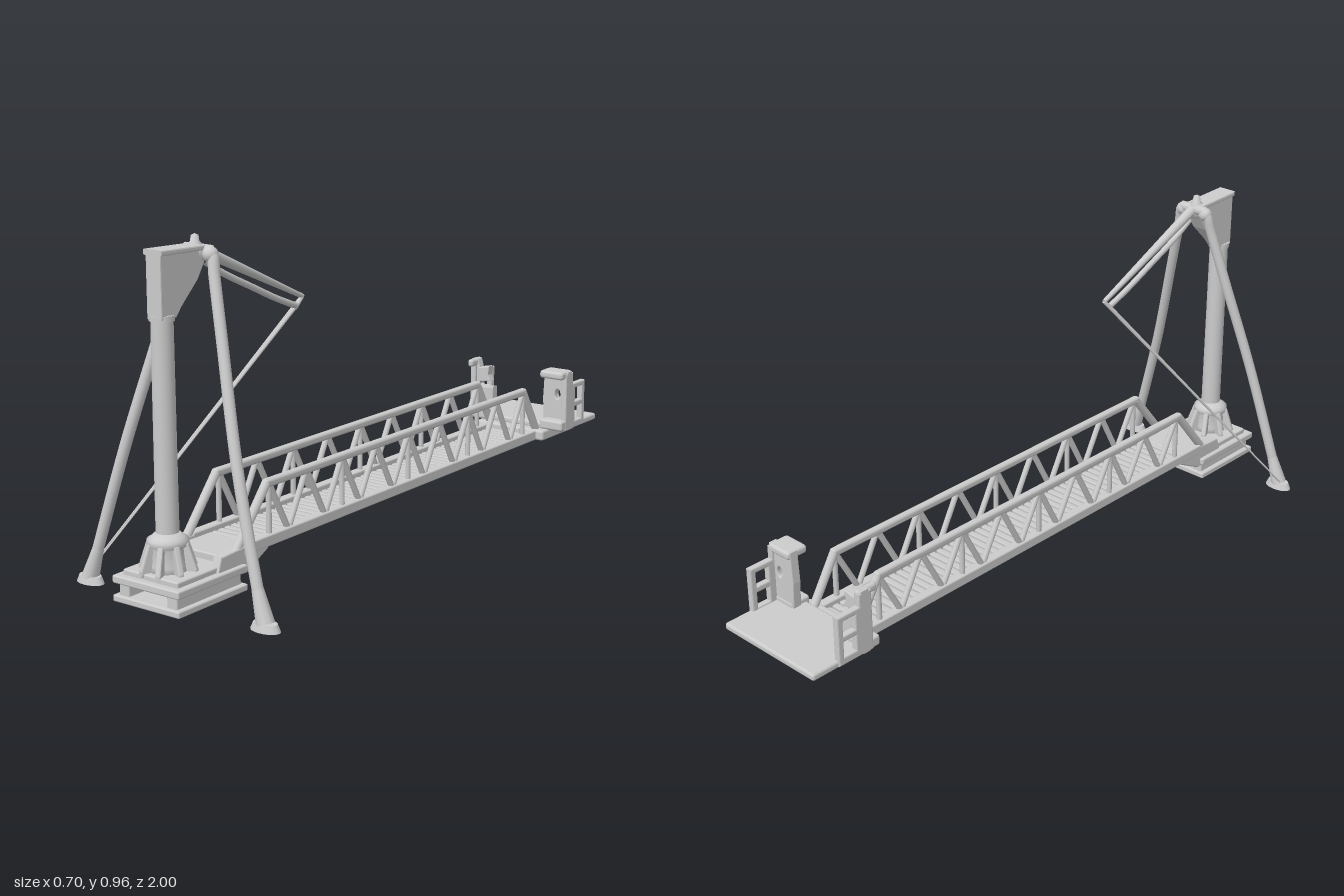
import * as THREE from 'three';
import { RoundedBoxGeometry } from 'three/addons/geometries/RoundedBoxGeometry.js';

const mat = new THREE.MeshStandardMaterial({ color: 0xcccccc });
const V = (x, y, z) => new THREE.Vector3(x, y, z);

function add(parent, name, geometry) {
  const mesh = new THREE.Mesh(geometry, mat);
  mesh.name = name;
  parent.add(mesh);
  return mesh;
}

// Box given by its limits on each axis
function box(parent, name, [x0, x1], [y0, y1], [z0, z1], r = 0.005) {
  const g = new RoundedBoxGeometry(x1 - x0, y1 - y0, z1 - z0, 2, r);
  g.translate((x0 + x1) / 2, (y0 + y1) / 2, (z0 + z1) / 2);
  return add(parent, name, g);
}

// Straight round bar between two points
function bar(parent, name, a, b, r0, r1 = r0) {
  const mesh = add(parent, name, new THREE.CylinderGeometry(r1, r0, a.distanceTo(b), 10));
  mesh.position.copy(a).lerp(b, 0.5);
  mesh.quaternion.setFromUnitVectors(V(0, 1, 0), b.clone().sub(a).normalize());
  return mesh;
}

function group(parent, name) {
  const g = new THREE.Group();
  g.name = name;
  parent.add(g);
  return g;
}

const poly = (pts, Type = THREE.Shape) => new Type(pts.map(p => new THREE.Vector2(...p)));

// Plate with a side outline of [z, y] points, centred on x
function sidePlate(parent, name, pts, x, width, holes = []) {
  const shape = poly(pts);
  holes.forEach(h => shape.holes.push(poly(h, THREE.Path)));
  const b = Math.min(0.004, width / 4);
  const g = new THREE.ExtrudeGeometry(shape, {
    depth: width - 2 * b, bevelSize: b, bevelThickness: b, bevelOffset: -b, bevelSegments: 2
  });
  g.translate(0, 0, -(width - 2 * b) / 2).rotateY(-Math.PI / 2).translate(x, 0, 0);
  return add(parent, name, g);
}

function buildBase(root) {
  const base = group(root, 'base');
  box(base, 'bottomPlate', [-0.115, 0.115], [0.018, 0.037], [0.73, 1]);
  box(base, 'topPlate', [-0.115, 0.115], [0.068, 0.09], [0.73, 1]);
  box(base, 'step', [-0.095, 0.095], [0.085, 0.105], [0.74, 0.98]);
  for (const s of [-1, 1]) {
    const xs = [s * 0.065, s * 0.1].sort((a, b) => a - b);
    box(base, 'web', xs, [0.03, 0.075], [0.74, 0.99]);
    // Cheek that carries the end of the bridge
    sidePlate(base, 'cheek', [[0.63, 0.105], [0.72, 0.06], [0.84, 0.07], [0.82, 0.13], [0.63, 0.14]], s * 0.088, 0.028);
  }
  // Mast socket with a ring of gussets
  const socket = [[0, 0.09], [0.056, 0.09], [0.05, 0.12], [0.046, 0.165], [0.054, 0.172], [0.054, 0.187], [0.044, 0.193], [0.031, 0.205], [0, 0.205]];
  add(base, 'socket', new THREE.LatheGeometry(socket.map(p => new THREE.Vector2(...p)), 28)).position.z = 0.91;
  for (let i = 0; i < 8; i++) {
    const gusset = sidePlate(base, 'gusset', [[0.035, 0.095], [0.08, 0.095], [0.08, 0.11], [0.057, 0.178], [0.035, 0.178]], 0, 0.016);
    gusset.position.z = 0.91;
    gusset.rotation.y = (i + 0.5) * Math.PI / 4;
  }
}

function buildMast(root) {
  const mast = group(root, 'mast');
  add(mast, 'column', new THREE.CylinderGeometry(0.029, 0.031, 0.68, 28)).position.set(0, 0.43, 0.91);
  add(mast, 'collar', new THREE.CylinderGeometry(0.033, 0.033, 0.014, 28)).position.set(0, 0.762, 0.91);
  sidePlate(mast, 'head', [[0.938, 0.76], [0.882, 0.76], [0.862, 0.785], [0.8, 0.845], [0.765, 0.9], [0.765, 0.93], [0.938, 0.935]], 0, 0.05);
  sidePlate(mast, 'headCap', [[0.94, 0.922], [0.77, 0.918], [0.77, 0.932], [0.94, 0.937]], 0, 0.062);
  const knob = [[0, -0.035], [0.025, -0.03], [0.03, 0], [0.012, 0.02], [0.01, 0.035], [0, 0.04]];
  add(mast, 'knob', new THREE.LatheGeometry(knob.map(p => new THREE.Vector2(...p)), 16)).position.set(0, 0.92, 0.782);

  for (const s of [-1, 1]) {
    const leg = group(mast, s > 0 ? 'leftLeg' : 'rightLeg');
    const path = new THREE.CatmullRomCurve3([
      V(0, 0.915, 0.77), V(s * 0.045, 0.915, 0.77), V(s * 0.062, 0.855, 0.78), V(s * 0.105, 0.7, 0.805),
      V(s * 0.19, 0.4, 0.855), V(s * 0.277, 0.1, 0.885), V(s * 0.297, 0.035, 0.89)
    ]);
    add(leg, 'strut', new THREE.TubeGeometry(path, 48, 0.0155, 12));
    bar(leg, 'ankle', V(s * 0.305, 0.016, 0.89), V(s * 0.277, 0.1, 0.885), 0.025, 0.016);
    // Foot pad
    const foot = add(leg, 'foot', new THREE.CylinderGeometry(0.8, 1, 1, 20));
    foot.scale.set(0.045, 0.02, 0.027);
    foot.position.set(s * 0.305, 0.01, 0.89);
    add(leg, 'shoulder', new THREE.SphereGeometry(0.021, 16, 10)).position.set(s * 0.043, 0.908, 0.772);
  }

  // Jib with two arms and the stays from its tip to one foot
  const jib = group(mast, 'jib');
  const tip = V(0, 0.735, 0.348);
  bar(jib, 'upperArm', V(0, 0.915, 0.76), tip, 0.016, 0.007);
  const lower = new THREE.CatmullRomCurve3([V(0, 0.885, 0.75), V(0, 0.845, 0.68), V(0, 0.79, 0.56), V(0, 0.745, 0.46), V(0, 0.712, 0.375)]);
  add(jib, 'lowerArm', new THREE.TubeGeometry(lower, 24, 0.009, 10));
  bar(jib, 'tipLink', V(0, 0.705, 0.38), tip, 0.006);
  bar(jib, 'stay', V(-0.325, 0.03, 0.87), tip, 0.002, 0.006);
  bar(jib, 'stay', V(-0.318, 0.03, 0.872), V(0, 0.708, 0.378), 0.002, 0.005);
}

function buildBridge(root) {
  const bridge = group(root, 'bridge');
  const low = 0.13, high = 0.28;
  for (const s of [-1, 1]) {
    const truss = group(bridge, s > 0 ? 'leftTruss' : 'rightTruss');
    const x = s * 0.088;
    box(truss, 'bottomChord', [x - 0.015, x + 0.015], [0.108, 0.14], [-0.8, 0.73]);
    box(truss, 'topChord', [x - 0.012, x + 0.012], [0.268, 0.292], [-0.69, 0.63], 0.009);
    bar(truss, 'endBrace', V(x, 0.11, 0.76), V(x, high, 0.62), 0.013);
    bar(truss, 'endBrace', V(x, low, -0.77), V(x, high, -0.68), 0.013);
    // Zigzag diagonals with a post at every second top joint
    const n = 8, pitch = 1.29 / n;
    for (let i = 0; i <= n; i++) {
      const z = 0.61 - i * pitch;
      if (i % 2 === 0) bar(truss, 'post', V(x, low, z), V(x, high, z), 0.008);
      if (i === n) break;
      const mid = V(x, low, z - pitch / 2);
      bar(truss, 'diagonal', V(x, high, z), mid, 0.009);
      bar(truss, 'diagonal', mid, V(x, high, z - pitch), 0.009);
    }
  }
  // Deck treads
  for (let i = 0; i < 52; i++) {
    const z = 0.66 - i * 0.027;
    box(bridge, 'tread', [-0.08, 0.08], [0.113, 0.125], [z - 0.019, z], 0.003);
  }
  box(bridge, 'nearLanding', [-0.08, 0.08], [0.1, 0.125], [0.66, 0.8]);
  box(bridge, 'farLanding', [-0.08, 0.08], [0.108, 0.14], [-0.8, -0.74]);
}

function buildPlatform(root) {
  const platform = group(root, 'platform');
  box(platform, 'floor', [-0.182, 0.182], [0.138, 0.16], [-1, -0.775], 0.008);
  box(platform, 'underframe', [-0.13, 0.13], [0.108, 0.142], [-0.95, -0.74], 0.008);
  for (const s of [-1, 1]) {
    const rail = group(platform, s > 0 ? 'leftGuard' : 'rightGuard');
    // Side frame with two windows
    const win = (y0, y1) => [[-0.85, y0], [-0.85, y1], [-0.893, y1], [-0.893, y0]];
    sidePlate(rail, 'sideFrame', [[-0.79, 0.142], [-0.912, 0.142], [-0.912, 0.292], [-0.835, 0.292], [-0.835, 0.33], [-0.79, 0.33]],
      s * 0.176, 0.02, [win(0.165, 0.212), win(0.23, 0.275)]);
    // End panel: pierced on the left, broken through on the right
    const shape = poly(s > 0
      ? [[0.1, 0.145], [0.183, 0.145], [0.183, 0.332], [0.1, 0.332], [0.095, 0.24]]
      : [[-0.105, 0.145], [-0.183, 0.145], [-0.183, 0.332], [-0.165, 0.332], [-0.158, 0.305], [-0.122, 0.312],
        [-0.126, 0.285], [-0.118, 0.268], [-0.155, 0.262], [-0.162, 0.25], [-0.14, 0.24], [-0.105, 0.245]]);
    if (s > 0) shape.holes.push(new THREE.Path().absellipse(0.147, 0.257, 0.013, 0.02, 0, Math.PI * 2));
    const g = new THREE.ExtrudeGeometry(shape, { depth: 0.022, bevelSize: 0.003, bevelThickness: 0.003, bevelSegments: 2, curveSegments: 16 });
    add(rail, 'endPanel', g).position.z = -0.825;
    const lip = [s * 0.183, s * (s > 0 ? 0.097 : 0.163)].sort((a, b) => a - b);
    box(rail, 'topLip', lip, [0.312, 0.338], [-0.835, -0.765], 0.01);
    const foot = [s * 0.185, s * 0.1].sort((a, b) => a - b);
    box(rail, 'kickPlate', foot, [0.142, 0.175], [-0.83, -0.765], 0.008);
  }
}

export function createModel() {
  const root = new THREE.Group();
  root.name = 'gangway';
  buildBase(root);
  buildMast(root);
  buildBridge(root);
  buildPlatform(root);
  return root;
}
